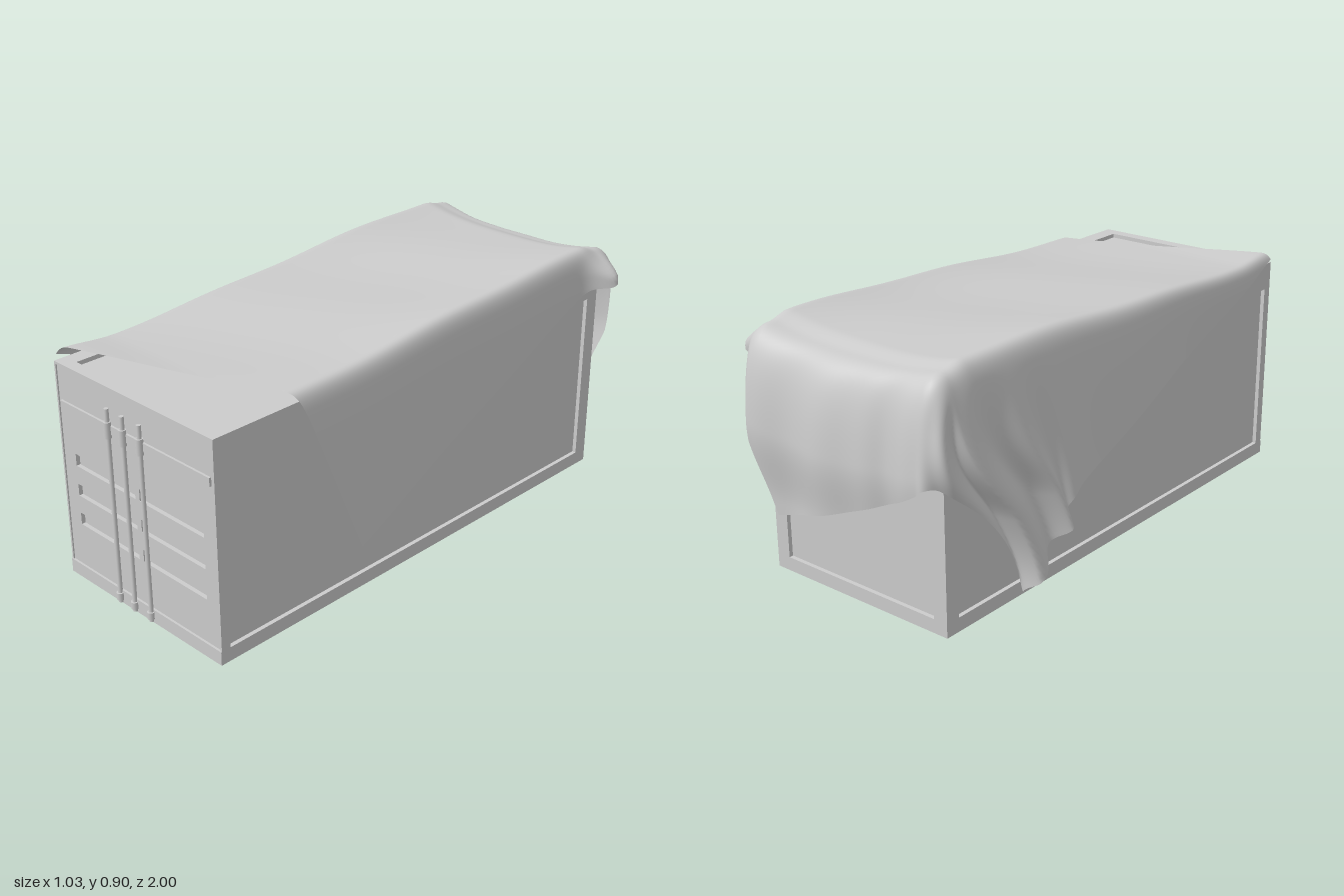
import * as THREE from 'three';

const material = new THREE.MeshStandardMaterial({ color: 0xcccccc });
const clothMaterial = new THREE.MeshStandardMaterial({ color: 0xcccccc, side: THREE.DoubleSide });
const { smoothstep, clamp } = THREE.MathUtils;
const V = (x, y, z) => new THREE.Vector3(x, y, z);
const bump = (x, c, w) => Math.exp(-(((x - c) / w) ** 2));

// Container limits
const X0 = -0.365, X1 = 0.405, TOP = 0.79, Z0 = -0.885, Z1 = 0.975, T = 0.015;

function add(group, name, geometry, x = 0, y = 0, z = 0) {
  const mesh = new THREE.Mesh(geometry, material);
  mesh.name = name;
  mesh.position.set(x, y, z);
  group.add(mesh);
  return mesh;
}

// Box given by its limits
function box(group, name, x0, x1, y0, y1, z0, z1) {
  add(group, name, new THREE.BoxGeometry(x1 - x0, y1 - y0, z1 - z0), (x0 + x1) / 2, (y0 + y1) / 2, (z0 + z1) / 2);
}

// Flat plate with rectangular openings, placed by its u and v directions
function plate(group, name, [u0, u1, v0, v1], holes, u, v, origin) {
  const corners = ([a, b, c, d]) => [[a, c], [b, c], [b, d], [a, d]].map((p) => new THREE.Vector2(...p));
  const shape = new THREE.Shape(corners([u0, u1, v0, v1]));
  for (const h of holes) shape.holes.push(new THREE.Path(corners(h).reverse()));
  const geometry = new THREE.ExtrudeGeometry(shape, { depth: T, bevelEnabled: false });
  const basis = new THREE.Matrix4().makeBasis(u, v, u.clone().cross(v)).setPosition(origin);
  add(group, name, geometry.applyMatrix4(basis));
}

function container() {
  const g = new THREE.Group();
  g.name = 'container';
  box(g, 'containerBody', X0 + T, X1 - T, 0, TOP - T, Z0 + T, Z1 - T);

  // Frames around the recessed wall and roof panels
  plate(g, 'leftSideFrame', [-Z1, -Z0, 0, TOP], [[-0.945, 0.83, 0.05, 0.69]], V(0, 0, -1), V(0, 1, 0), V(X1 - T, 0, 0));
  plate(g, 'rightSideFrame', [Z0, Z1, 0, TOP], [[-0.83, 0.945, 0.05, 0.69]], V(0, 0, 1), V(0, 1, 0), V(X0 + T, 0, 0));
  plate(g, 'backFrame', [-X1, -X0, 0, TOP], [[-0.35, 0.31, 0.05, 0.69]], V(-1, 0, 0), V(0, 1, 0), V(0, 0, Z0 + T));
  plate(g, 'roofFrame', [X0, X1, -Z1, -Z0], [[-0.305, 0.345, -0.935, 0.83]], V(1, 0, 0), V(0, 0, -1), V(0, TOP - T, 0));

  // Door wall with six recessed slots
  const slots = [];
  for (const y of [0.21, 0.32, 0.432]) slots.push([-0.298, 0.01, y, y + 0.044], [0.032, 0.34, y, y + 0.044]);
  plate(g, 'doorWall', [X0, X1, 0, TOP], slots, V(1, 0, 0), V(0, 1, 0), V(0, 0, Z1 - T));
  box(g, 'doorSill', X0, X1, 0, 0.05, Z1 - T, Z1 + 0.008);
  box(g, 'doorHeader', X0, X1, TOP - 0.008, TOP, Z1 - T, Z1 + 0.005);
  for (const x of [X0, X1 - 0.007]) box(g, 'doorPost', x, x + 0.007, 0.05, TOP, Z1 - T, Z1 + 0.005);
  box(g, 'doorRail', -0.345, 0.386, 0.628, 0.658, Z1 - T, Z1 + 0.008);

  // Locking bars with their collars
  for (const x of [-0.094, -0.018, 0.066]) {
    add(g, 'lockingBar', new THREE.CylinderGeometry(0.008, 0.008, 0.713, 16), x, 0.361, 0.986);
    add(g, 'upperCollar', new THREE.CylinderGeometry(0.013, 0.013, 0.056, 16), x, 0.644, 0.987);
    add(g, 'lowerCollar', new THREE.CylinderGeometry(0.013, 0.013, 0.026, 16), x, 0.028, 0.987);
  }
  return g;
}

// Height of the sheet over the roof, rising to the back with raised corners
function roofHeight(x, z) {
  const back = smoothstep(-z, -0.9, 0.75);
  return 0.817 + 0.048 * back + 0.03 * back * Math.abs((x - 0.02) / 0.36) ** 3
    + 0.004 * Math.sin(9 * z + 4 * x) - 0.02 * smoothstep(-z, 0.78, 0.87) + 0.012 * smoothstep(z, 0.75, 0.95);
}

// Bends a point of the flat sheet over the container's edges
function drape(u, w) {
  const cx = clamp(u, X0 + 0.025, X1 - 0.025), cz = Math.max(w, Z0 + 0.025);
  const du = u - cx, dw = w - cz, L = Math.hypot(du, dw);
  const y = roofHeight(cx, cz);
  if (L < 1e-6) return V(cx, y, cz);
  const nx = du / L, nz = dw / L, a = Math.atan2(-nz, -nx);
  const turn = 0.045 * (1 - Math.exp(-L / 0.045));
  const hang = smoothstep(L, 0.05, 0.7);

  // How far each side swings out from its wall
  const rightFlare = 0.15 * L * smoothstep(-w, -0.9, 0.4) + 0.008 * Math.sin(7 * w) * hang;
  const leftFlare = 0.055 * L + 0.07 * bump(w, -0.88, 0.07) * smoothstep(L, 0.03, 0.14);
  const backFlare = 0.095 * (1 - Math.exp(-L / 0.16))
    * (1 - 0.5 * bump(u, -0.2, 0.07) + 0.12 * Math.sin(22 * u)) - 0.03 * smoothstep(L, 0.35, 0.6);
  const sideFlare = nx < 0 ? rightFlare : leftFlare;
  let out = turn + nx * nx * sideFlare + nz * nz * backFlare;

  // Pleats gathered at the right back corner
  let shift = 0;
  if (nx < 0) {
    const gather = smoothstep(-w, 0.3, 0.75) * smoothstep(L, 0.08, 0.55);
    out += gather * nx * nx * (0.035 * Math.sin(26 * (w + 0.42)) - 0.01);
    if (nz < 0) out += 0.035 * hang * Math.sin(2 * a) * Math.cos(8 * a);
    shift = 0.24 * gather * nx * nx * smoothstep(L, 0.1, 0.8);
  }
  out = Math.max(out, turn);
  return V(cx + nx * out, y - (L - turn), cz + nz * out + shift);
}

// Rectangular sheet lying askew, two edges from one corner
function cloth() {
  const nu = 120, nv = 150;
  const geometry = new THREE.PlaneGeometry(1, 1, nu, nv);
  const pos = geometry.attributes.position;
  for (let i = 0; i < pos.count; i++) {
    const s = pos.getX(i) + 0.5, t = pos.getY(i) + 0.5;
    const p = drape(-0.4 + 1.45 * s - 0.76 * t, 0.965 - 0.55 * s - 1.92 * t);
    pos.setXYZ(i, p.x, p.y, p.z);
  }
  geometry.computeVertexNormals();
  const mesh = new THREE.Mesh(geometry, clothMaterial);
  mesh.name = 'drapedCloth';
  return mesh;
}

export function createModel() {
  const model = new THREE.Group();
  model.name = 'coveredContainer';
  model.add(container(), cloth());
  return model;
}
